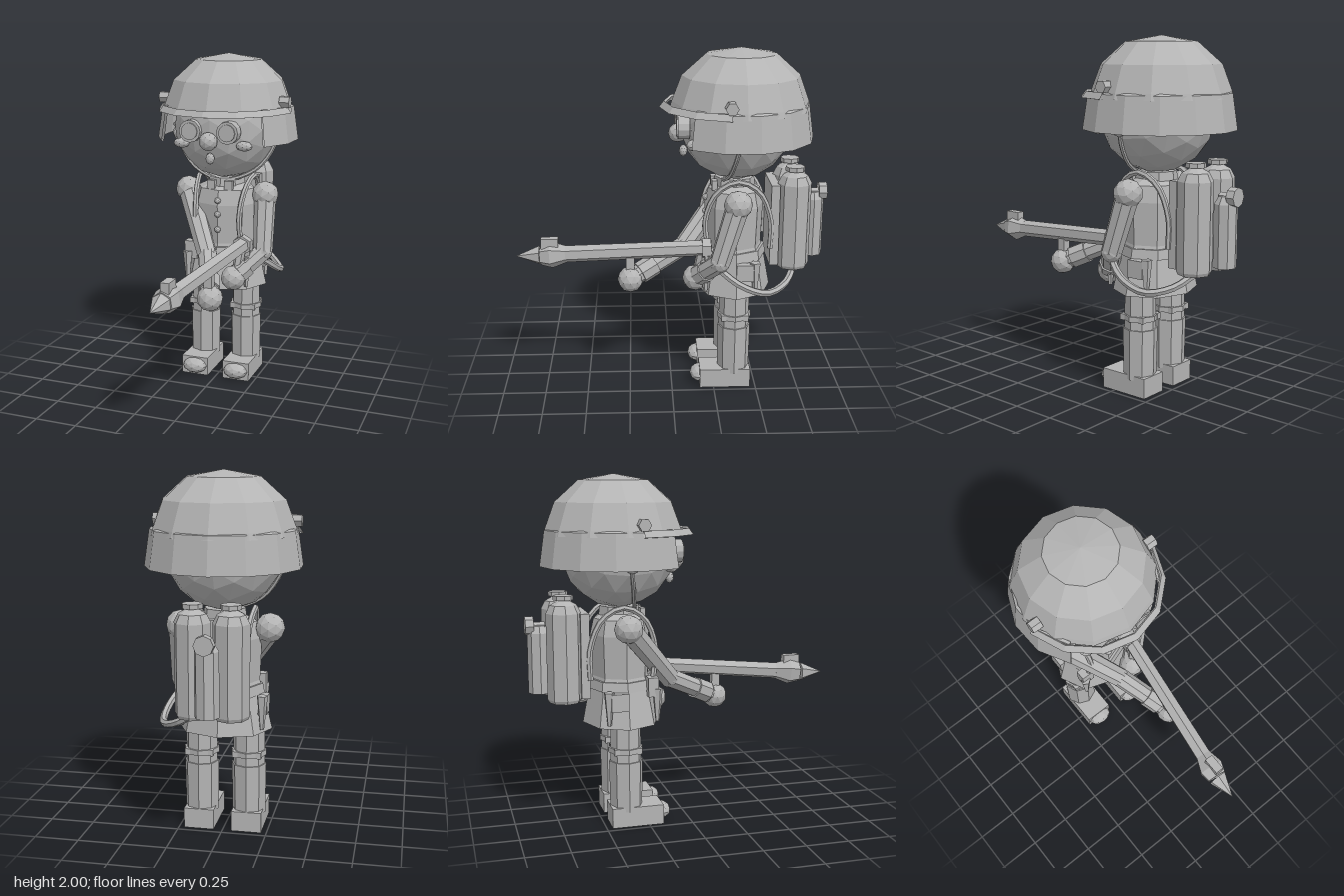
import * as THREE from 'three';

export function createModel() {
  const model = new THREE.Group();
  const V = (x, y, z) => new THREE.Vector3(x, y, z);
  const grey = new THREE.MeshStandardMaterial({ color: 0xb4b4b4, flatShading: true, side: THREE.DoubleSide });
  grey.name = 'plain grey';
  const CZ = -0.38; // depth of the body axis

  // ---- helpers ----
  const add = (name, geo, x = 0, y = 0, z = 0) => {
    const m = new THREE.Mesh(geo, grey);
    m.name = name;
    m.position.set(x, y, z);
    model.add(m);
    return m;
  };
  const box = (name, w, h, d, x, y, z) => add(name, new THREE.BoxGeometry(w, h, d), x, y, z);
  const cyl = (name, rTop, rBottom, h, sides, x, y, z) =>
    add(name, new THREE.CylinderGeometry(rTop, rBottom, h, sides), x, y, z);
  const ball = (name, r, x, y, z, sx = 1, sy = 1, sz = 1) => {
    const m = add(name, new THREE.IcosahedronGeometry(r, 1), x, y, z);
    m.scale.set(sx, sy, sz);
    return m;
  };
  // cylinder from point a (radius ra) to point b (radius rb)
  const rod = (name, a, b, ra, rb, sides = 8) => {
    const dir = b.clone().sub(a);
    const m = cyl(name, rb, ra, dir.length(), sides, 0, 0, 0);
    m.position.copy(a).addScaledVector(dir, 0.5);
    m.quaternion.setFromUnitVectors(V(0, 1, 0), dir.normalize());
    return m;
  };
  const lathe = (name, pts, sides, z, start = 0, sweep = Math.PI * 2) =>
    add(name, new THREE.LatheGeometry(pts.map(p => new THREE.Vector2(...p)), sides, start, sweep), 0, 0, z);
  const tube = (name, pts, r, segs = 12) =>
    add(name, new THREE.TubeGeometry(new THREE.CatmullRomCurve3(pts), segs, r, 6));
  const deg = THREE.MathUtils.degToRad;

  // ---- helmet ----
  lathe('helmetDome', [[0.40, 1.665], [0.39, 1.70], [0.335, 1.845], [0.2, 1.965], [0, 2]], 12, -0.395);
  lathe('helmetNeckGuard', [[0.385, 1.70], [0.40, 1.69], [0.43, 1.49], [0.415, 1.49], [0.385, 1.69]],
    10, -0.39, deg(48), deg(264));
  lathe('helmetVisor', [[0.43, 1.70], [0.456, 1.665], [0.436, 1.662], [0.42, 1.69], [0.43, 1.70]],
    6, -0.39, deg(-80), deg(160)).scale.x = 0.93;

  // ---- head and face ----
  add('head', new THREE.IcosahedronGeometry(0.322, 2), 0, 1.57, -0.375);
  ball('nose', 0.055, 0, 1.515, -0.04);
  ball('mouth', 0.03, 0, 1.41, -0.072, 0.9, 1.15, 0.8);
  for (const s of [-1, 1]) {
    rod('goggleRim', V(s * 0.115, 1.57, -0.1), V(s * 0.115, 1.57, -0.035), 0.066, 0.066, 12);
    rod('goggleLens', V(s * 0.115, 1.57, -0.06), V(s * 0.115, 1.57, -0.027), 0.05, 0.05, 12);
    ball('cheek', 0.05, s * 0.195, 1.487, -0.115, 1, 0.6, 0.7);
    ball('ear', 0.045, s * 0.315, 1.51, -0.36, 0.7, 1, 1);
    rod('helmetBolt', V(s * 0.35, 1.73, -0.31), V(s * 0.41, 1.73, -0.31), 0.036, 0.036, 6);
  }
  tube('chinStrap', [-1, -0.93, -0.75, -0.4, 0, 0.4, 0.75, 0.93, 1].map(t =>
    V(0.325 * Math.sin(t * 1.6), 1.57 - 0.325 * Math.cos(t * 1.6), -0.29 - 0.09 * Math.abs(t))), 0.012, 20);
  tube('goggleBand', [-1, -0.6, 0, 0.6, 1].map(t =>
    V(0.325 * Math.sin(Math.PI + t * 2.75), 1.57, -0.375 + 0.325 * Math.cos(Math.PI + t * 2.75))), 0.012, 24);

  // ---- coat and collar ----
  lathe('coat', [[0, 0.6], [0.25, 0.585], [0.265, 0.585], [0.215, 0.8], [0.195, 0.86], [0.205, 1.1],
    [0.18, 1.19], [0.12, 1.22], [0, 1.22]], 8, -0.37).scale.z = 0.84;
  cyl('belt', 0.212, 0.222, 0.055, 8, 0, 0.815, -0.37).scale.z = 0.87;
  cyl('collar', 0.115, 0.125, 0.08, 8, 0, 1.22, -0.37);
  for (const s of [-1, 1]) {
    box('collarTab', 0.05, 0.055, 0.03, s * 0.055, 1.22, -0.25);
    box('frontPouch', 0.08, 0.11, 0.06, s * 0.17, 0.81, -0.22);
    box('sidePouch', 0.05, 0.1, 0.1, s * 0.225, 0.74, -0.42);
    cyl('pointedSheath', 0.032, 0.012, 0.19, 5, s * 0.19, 0.705, -0.195);
    cyl('pointedSheath', 0.032, 0.012, 0.19, 5, s * 0.225, 0.705, -0.48);
    // pack strap over the shoulder
    tube('shoulderStrap', [V(s * 0.15, 0.86, -0.21), V(s * 0.14, 1.04, -0.195), V(s * 0.155, 1.2, -0.26),
      V(s * 0.17, 1.265, -0.38), V(s * 0.16, 1.2, -0.5), V(s * 0.15, 1.03, -0.57), V(s * 0.15, 0.86, -0.57)], 0.017, 18);
  }
  for (const y of [1.13, 1.045, 0.95]) ball('button', 0.02, 0, y, -0.205);

  // ---- legs and boots ----
  for (const s of [-1, 1]) {
    const x = s * 0.135;
    cyl('upperLeg', 0.088, 0.09, 0.27, 8, x, 0.5, -0.37);
    cyl('lowerLeg', 0.098, 0.094, 0.29, 8, x, 0.235, -0.37);
    cyl('kneeBand', 0.1, 0.1, 0.03, 8, x, 0.445, -0.37);
    for (const a of [0, 1, 2, 3]) {
      const t = a * Math.PI / 2 + Math.PI / 4;
      box('kneeBuckle', 0.03, 0.035, 0.03, x + 0.093 * Math.sin(t), 0.445, -0.37 + 0.093 * Math.cos(t));
    }
    box('boot', 0.17, 0.115, 0.3, x, 0.0575, -0.317);
    ball('bootToe', 0.08, x, 0.06, -0.17, 0.98, 0.62, 0.75);
  }

  // ---- arms ----
  const limb = (shoulder, elbow, hand) => {
    ball('shoulder', 0.082, ...shoulder);
    rod('upperArm', shoulder, elbow, 0.068, 0.06);
    ball('elbow', 0.06, ...elbow);
    rod('forearm', elbow, hand, 0.058, 0.055);
    rod('cuff', elbow.clone().lerp(hand, 0.55), elbow.clone().lerp(hand, 0.82), 0.066, 0.066);
    ball('hand', 0.076, ...hand);
  };
  limb(V(0.25, 1.155, -0.37), V(0.27, 0.82, -0.27), V(0.125, 0.675, -0.14));
  limb(V(-0.25, 1.155, -0.37), V(-0.02, 0.82, -0.08), V(0.115, 0.665, 0.24));

  // ---- hand-held sprayer ----
  const rear = V(0.17, 0.875, -0.23), front = V(0.06, 0.806, 0.64);
  const along = t => rear.clone().lerp(front, t);
  rod('barrel', rear, front, 0.046, 0.05, 6);
  rod('nozzleFlare', along(0.97), along(1.07), 0.05, 0.08, 6);
  rod('nozzleFront', along(1.07), along(1.14), 0.08, 0.062, 6);
  rod('nozzleTip', along(1.15), V(0.04, 0.79, 0.91), 0.058, 0.001, 6);
  box('sight', 0.05, 0.07, 0.1, 0.057, 0.87, 0.71);
  box('frontGrip', 0.05, 0.13, 0.05, 0.11, 0.74, 0.24);
  rod('rearGrip', along(0.06), V(0.14, 0.7, -0.15), 0.03, 0.03, 6);
  cyl('valveCollar', 0.06, 0.06, 0.05, 6, 0.165, 0.87, -0.2).rotation.x = Math.PI / 2;

  // ---- back pack ----
  box('packPlate', 0.3, 0.48, 0.05, 0, 0.995, -0.595);
  for (const s of [-1, 1]) {
    lathe('tank', [[0, 0.735], [0.088, 0.735], [0.098, 0.755], [0.098, 1.24], [0.075, 1.285], [0.03, 1.31], [0, 1.31]],
      8, -0.708).position.x = s * 0.102;
    cyl('tankCap', 0.056, 0.056, 0.025, 8, s * 0.102, 1.325, -0.708);
  }
  lathe('smallTank', [[0, 0.775], [0.065, 0.775], [0.065, 1.12], [0.04, 1.16], [0, 1.17]], 8, -0.835);
  rod('valveStem', V(0, 1.15, -0.8), V(0, 1.15, -0.87), 0.03, 0.03, 6);
  rod('valveWheel', V(0, 1.16, -0.865), V(0, 1.16, -0.912), 0.053, 0.053, 8);
  tube('hose', [V(0.165, 0.86, -0.2), V(0.27, 0.77, -0.28), V(0.32, 0.69, -0.4), V(0.31, 0.645, -0.54),
    V(0.22, 0.675, -0.66), V(0.11, 0.74, -0.72)], 0.021, 16);

  return model;
}
